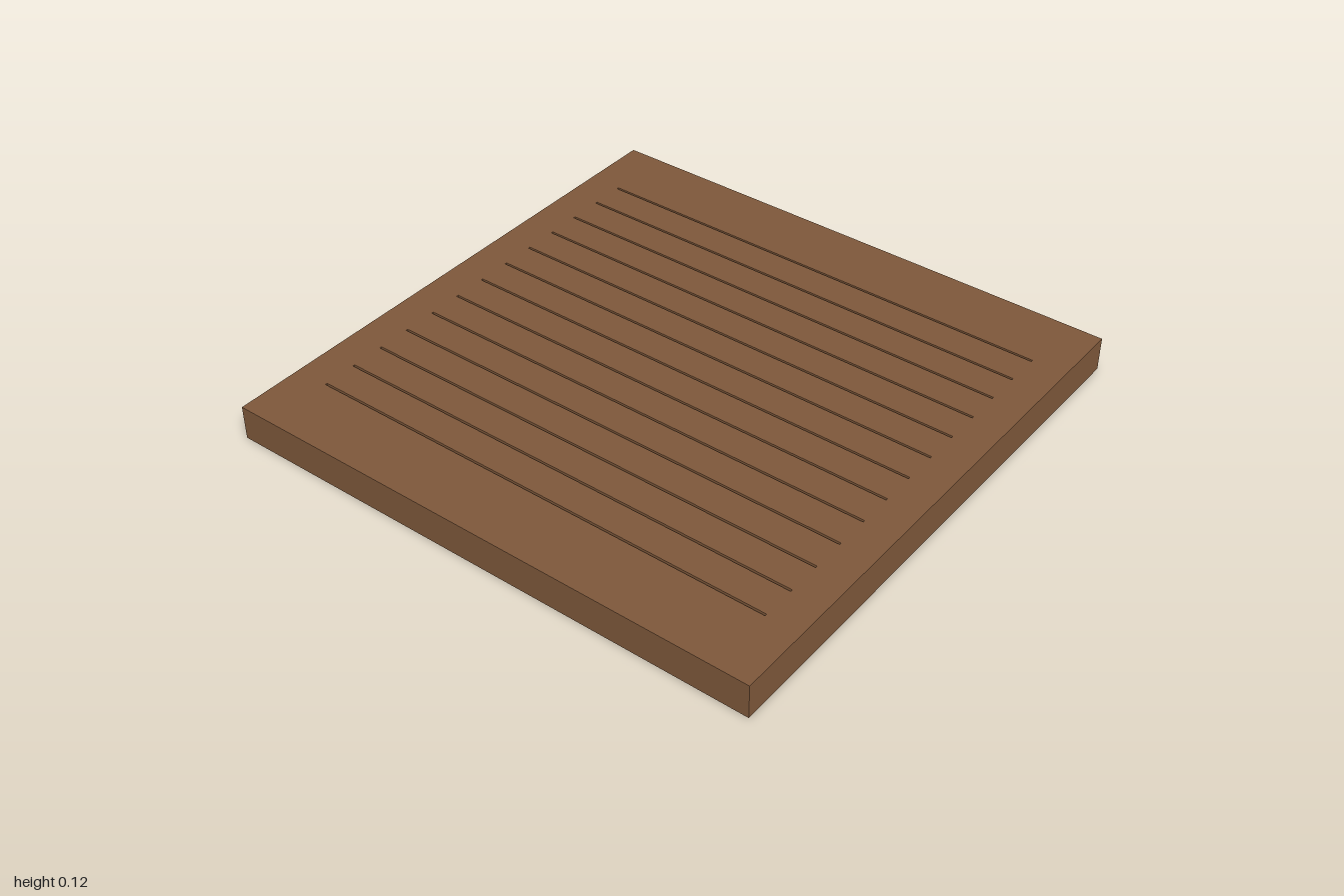
import * as THREE from 'three';

const HEIGHT = 0.125;      // overall thickness
const INNER = 0.875;       // half-size of the opening inside the frame
const SLAT_T = 0.025;      // slat thickness
const PITCH = 0.125;       // slat spacing
const GAP = 0.008;         // gap between slats

export function createModel() {
  const group = new THREE.Group();
  group.name = 'slattedDeck';
  const wood = new THREE.MeshStandardMaterial({ color: 0x7d573a });
  wood.name = 'brown wood';

  const add = (name, geometry, x = 0, y = 0, z = 0) => {
    const mesh = new THREE.Mesh(geometry, wood);
    mesh.name = name;
    mesh.position.set(x, y, z);
    group.add(mesh);
    return mesh;
  };
  const square = (PathType, r) => new PathType([
    new THREE.Vector2(-r, -r), new THREE.Vector2(r, -r),
    new THREE.Vector2(r, r), new THREE.Vector2(-r, r),
  ]);

  // Square outer frame
  const outline = square(THREE.Shape, 1);
  outline.holes.push(square(THREE.Path, INNER));
  const frame = new THREE.ExtrudeGeometry(outline, { depth: HEIGHT, bevelEnabled: false });
  frame.rotateX(-Math.PI / 2);
  add('frame', frame);

  // Slats running front to back; the outermost ones meet the frame
  const count = Math.round((2 * INNER) / PITCH);
  for (let i = 0; i < count; i++) {
    const x0 = -INNER + i * PITCH + (i === 0 ? 0 : GAP / 2);
    const x1 = -INNER + (i + 1) * PITCH - (i === count - 1 ? 0 : GAP / 2);
    add('slat' + (i + 1), new THREE.BoxGeometry(x1 - x0, SLAT_T, 2 * INNER),
      (x0 + x1) / 2, HEIGHT - SLAT_T / 2, 0);
  }

  // Joists running side to side under the slats
  const joistH = HEIGHT - SLAT_T;
  for (let i = 0; i < 5; i++) {
    add('joist' + (i + 1), new THREE.BoxGeometry(2 * INNER, joistH, 0.06),
      0, joistH / 2, -0.68 + i * 0.35);
  }

  return group;
}
